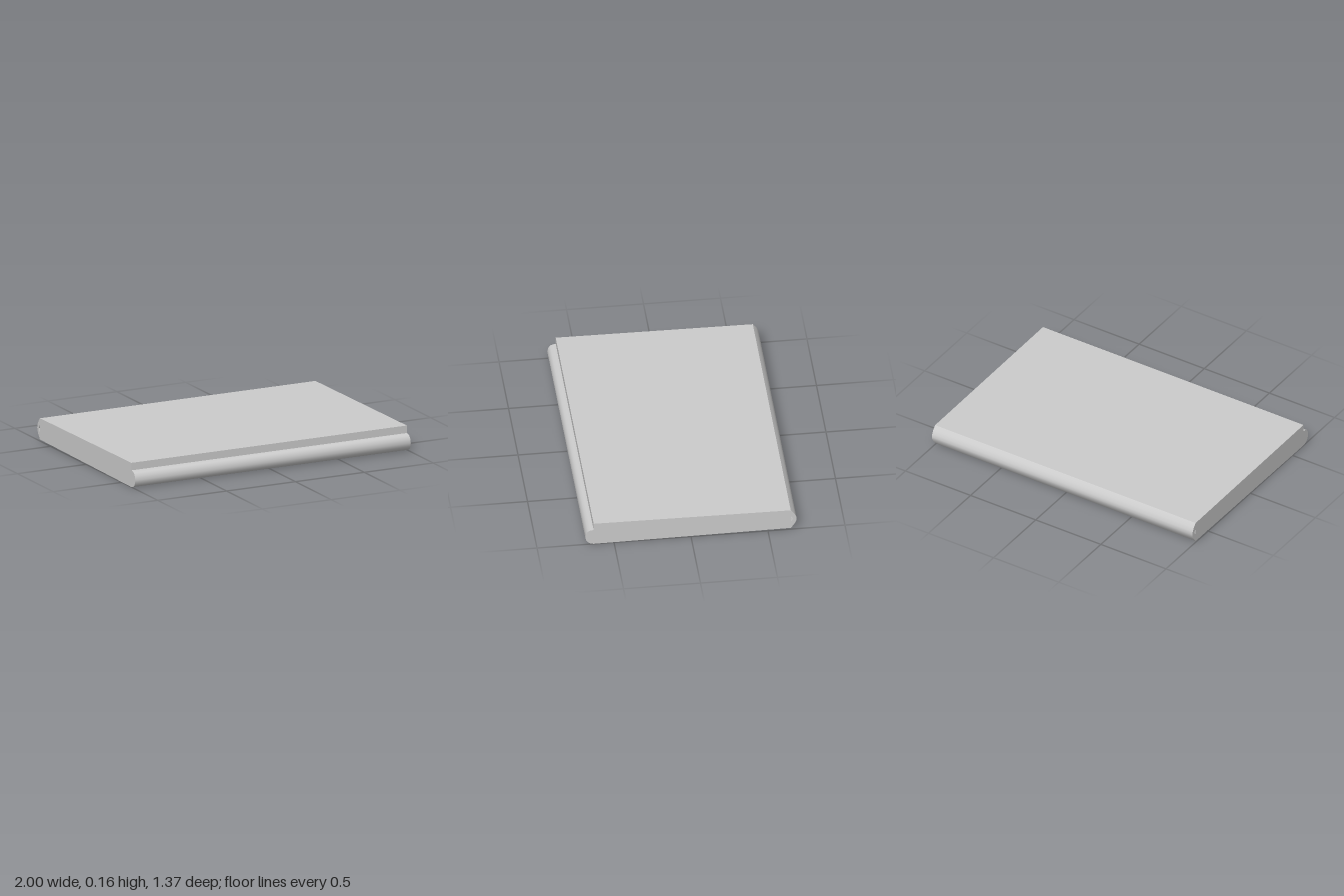
import * as THREE from 'three';
import { toCreasedNormals } from 'three/addons/utils/BufferGeometryUtils.js';

const WIDTH = 2;

// Cross-section points are [z, y]; the shape's x runs towards the back.
const toPoints = (list) => list.map(([z, y]) => new THREE.Vector2(-z, y));

export function createModel() {
  const group = new THREE.Group();
  const material = new THREE.MeshStandardMaterial({ color: 0xcccccc });

  // Flat slab with a rounded front lip, a step up to the top, and a rounded spine
  const profile = new THREE.Shape(toPoints([
    [0.632, 0.162], [0.632, 0.112],
    [0.652, 0.109], [0.668, 0.102], [0.681, 0.083], [0.687, 0.057],
    [0.681, 0.033], [0.67, 0.016], [0.655, 0.006], [0.632, 0],
    [-0.648, 0.01], [-0.67, 0.038], [-0.682, 0.062],
    [-0.687, 0.082],
    [-0.682, 0.104], [-0.67, 0.127], [-0.648, 0.152],
  ]));

  // Narrow channel running through the spine
  profile.holes.push(new THREE.Path(toPoints([
    [-0.649, 0.105], [-0.663, 0.083], [-0.649, 0.06], [-0.652, 0.083],
  ])));

  const slab = new THREE.ExtrudeGeometry(profile, { depth: WIDTH, bevelEnabled: false });
  slab.translate(0, 0, -WIDTH / 2);
  slab.rotateY(Math.PI / 2);

  const body = new THREE.Mesh(toCreasedNormals(slab, 0.8), material);
  body.name = 'slabBody';
  group.add(body);
  return group;
}
